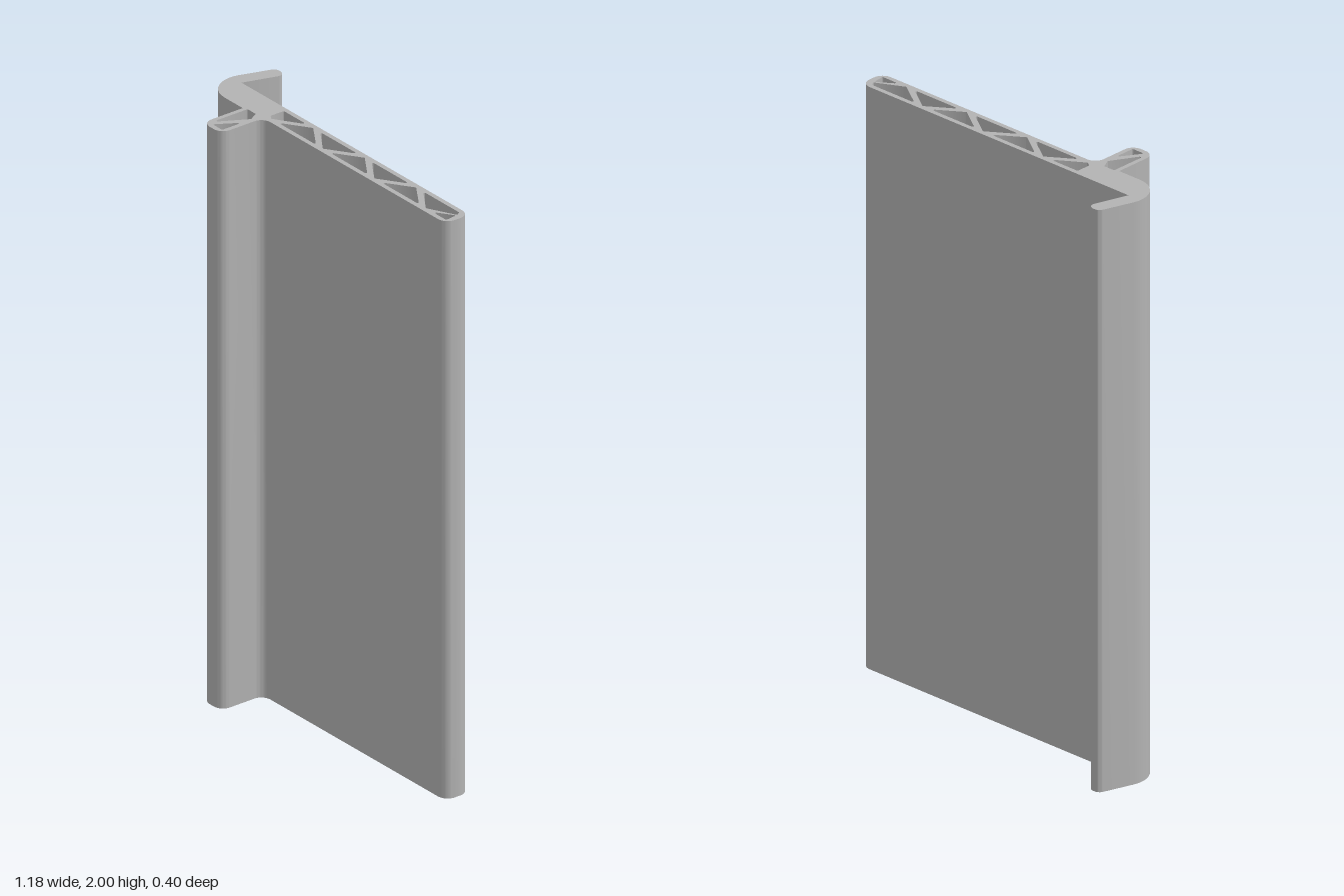
import * as THREE from 'three';
import { toCreasedNormals } from 'three/addons/utils/BufferGeometryUtils.js';

const HEIGHT = 2;

// Trace a closed polygon of [x, z, radius] corners, rounding each with an arc
function rounded(path, corners, defaultRadius = 0) {
  const n = corners.length;
  const pts = corners.map(([x, z]) => new THREE.Vector2(x, -z));
  pts.forEach((p, i) => {
    const r = corners[i][2] ?? defaultRadius;
    const into = p.clone().sub(pts[(i + n - 1) % n]).normalize();
    const out = pts[(i + 1) % n].clone().sub(p).normalize();
    const turn = Math.acos(THREE.MathUtils.clamp(into.dot(out), -1, 1));
    const t = r * Math.tan(turn / 2);
    const k = (4 / 3) * Math.tan(turn / 4) * r;
    const a = p.clone().addScaledVector(into, -t);
    const b = p.clone().addScaledVector(out, t);
    if (i === 0) path.moveTo(a.x, a.y);
    else path.lineTo(a.x, a.y);
    if (r > 0) {
      path.bezierCurveTo(a.x + into.x * k, a.y + into.y * k, b.x - out.x * k, b.y - out.y * k, b.x, b.y);
    }
  });
  path.closePath();
  return path;
}

export function createModel() {
  const group = new THREE.Group();
  group.name = 'extrudedProfile';
  const grey = new THREE.MeshStandardMaterial({ color: 0xb3b3b3 });
  grey.name = 'grey';

  // Outer section: hook, solid web, stem and hollow panel
  const section = rounded(new THREE.Shape(), [
    [-0.547, -0.203, 0.022],
    [-0.627, 0.042, 0.098],
    [-0.403, 0.042],
    [-0.403, 0.2, 0.035],
    [-0.311, 0.2, 0.035],
    [-0.311, 0.034, 0.035],
    [0.595, 0.034, 0.037],
    [0.595, -0.061, 0.037],
    [-0.54, -0.061],
    [-0.496, -0.203, 0.021],
  ]);

  const addHole = (corners) => section.holes.push(rounded(new THREE.Path(), corners, 0.004));
  const top = -0.045, bottom = 0.018;

  // Panel truss: end cells and alternating triangular cells
  addHole([[-0.309, top], [-0.195, top], [-0.292, bottom], [-0.309, 0.007]]);
  for (let i = 0; i < 5; i++) {
    const x = -0.163 + 0.128 * i;
    const [base, tip] = i % 2 ? [top, bottom] : [bottom, top];
    addHole([[x - 0.094, base], [x + 0.094, base], [x, tip]]);
  }
  addHole([[0.383, top], [0.562, top], [0.573, -0.03], [0.477, bottom]]);
  addHole([[0.51, bottom], [0.578, bottom], [0.573, -0.025]]);

  // Stem cells, parted by a diagonal rib
  addHole([[-0.388, 0.035], [-0.347, 0.035], [-0.329, 0.068], [-0.38, 0.159], [-0.388, 0.159]]);
  addHole([[-0.327, 0.106], [-0.327, 0.183], [-0.375, 0.183]]);

  const extruded = new THREE.ExtrudeGeometry(section, {
    depth: HEIGHT,
    bevelEnabled: false,
    curveSegments: 10,
  });
  extruded.rotateX(-Math.PI / 2);

  const profile = new THREE.Mesh(toCreasedNormals(extruded, 0.5), grey);
  profile.name = 'hookedPanel';
  group.add(profile);
  return group;
}
